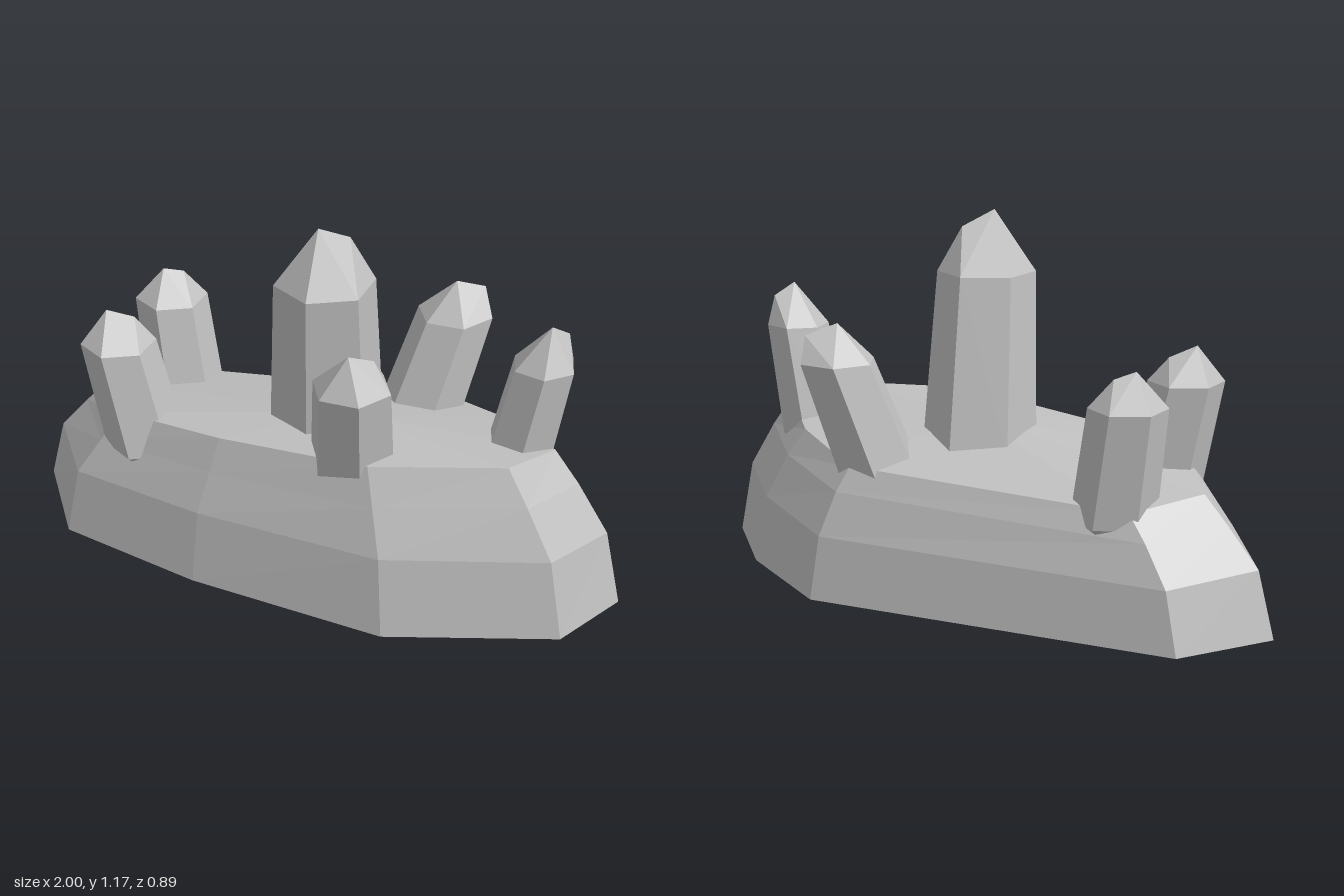
import * as THREE from 'three';
import { ConvexGeometry } from 'three/addons/geometries/ConvexGeometry.js';

const stone = new THREE.MeshStandardMaterial({ color: 0xc0c0c0, side: THREE.DoubleSide });
stone.name = 'grey stone';

// Hollow rock: one outline shrunk upward in tilted rings, closed by a low crown
function rockBase() {
  const outline = [
    [-1, -0.02], [-0.82, -0.3], [0.36, -0.45], [0.74, -0.24], [1, 0.01],
    [0.88, 0.26], [0.37, 0.445], [-0.28, 0.39], [-0.78, 0.28],
  ];
  // scale, height, height gain along x, height gain along z
  const rings = [
    [1, 0, 0, 0],
    [0.945, 0.225, 0.02, 0.07],
    [0.845, 0.36, 0.045, 0.09],
    [0.765, 0.455, 0.06, 0.16],
  ];
  const n = outline.length;
  const pos = [];
  const index = [];
  for (const [s, h, kx, kz] of rings) {
    for (const [x, z] of outline) pos.push(x * s, h + kx * x * s + kz * z * s, z * s);
  }
  const crown = rings.length * n;
  pos.push(0.1, 0.518, 0.06);
  for (let i = 0; i < n; i++) {
    const j = (i + 1) % n;
    for (let r = 0; r < rings.length - 1; r++) {
      const a = r * n + i, b = r * n + j;
      index.push(a, a + n, b, b, a + n, b + n);
    }
    index.push(crown, crown - n + j, crown - n + i);
  }
  const indexed = new THREE.BufferGeometry();
  indexed.setAttribute('position', new THREE.Float32BufferAttribute(pos, 3));
  indexed.setIndex(index);
  const geo = indexed.toNonIndexed();
  geo.computeVertexNormals();
  return geo;
}

// Leaning six-sided crystal with a blunt foot, a peak and a lower shoulder point
function crystal({ base, baseR, top, topR, yaw, peak, shoulder }) {
  const points = [new THREE.Vector3(...peak), new THREE.Vector3(...shoulder)];
  const addRing = ([x, y, z], r) => {
    for (let i = 0; i < 6; i++) {
      const a = THREE.MathUtils.degToRad(yaw + i * 60);
      points.push(new THREE.Vector3(x + r * Math.cos(a), y, z + r * Math.sin(a)));
    }
  };
  addRing([base[0], base[1] - 0.05, base[2]], baseR * 0.6);
  addRing(base, baseR);
  addRing(top, topR);
  return new ConvexGeometry(points);
}

const crystals = {
  tallCrystal: {
    base: [0.035, 0.43, 0.025], baseR: 0.18, top: [0.055, 0.98, 0.1], topR: 0.155, yaw: 30,
    peak: [0.05, 1.17, 0.14], shoulder: [0.12, 1.12, 0.06],
  },
  frontCrystal: {
    base: [0.19, 0.41, 0.215], baseR: 0.135, top: [0.22, 0.765, 0.31], topR: 0.122, yaw: 0,
    peak: [0.225, 0.89, 0.355], shoulder: [0.28, 0.855, 0.29],
  },
  backCrystal: {
    base: [0.25, 0.38, -0.22], baseR: 0.138, top: [0.34, 0.735, -0.31], topR: 0.122, yaw: 0,
    peak: [0.345, 0.85, -0.3], shoulder: [0.42, 0.815, -0.365],
  },
  frontRightCrystal: {
    base: [-0.53, 0.34, 0.17], baseR: 0.128, top: [-0.605, 0.69, 0.18], topR: 0.118, yaw: 30,
    peak: [-0.635, 0.8, 0.19], shoulder: [-0.565, 0.765, 0.14],
  },
  backRightCrystal: {
    base: [-0.54, 0.33, -0.16], baseR: 0.128, top: [-0.595, 0.68, -0.185], topR: 0.118, yaw: 30,
    peak: [-0.61, 0.785, -0.165], shoulder: [-0.56, 0.765, -0.21],
  },
  leftCrystal: {
    base: [0.635, 0.41, -0.025], baseR: 0.112, top: [0.705, 0.765, -0.025], topR: 0.1, yaw: 15,
    peak: [0.725, 0.9, -0.015], shoulder: [0.765, 0.86, -0.07],
  },
};

export function createModel() {
  const group = new THREE.Group();
  group.name = 'crystalRock';
  const add = (name, geometry) => {
    const mesh = new THREE.Mesh(geometry, stone);
    mesh.name = name;
    group.add(mesh);
  };
  add('rockBase', rockBase());
  for (const [name, spec] of Object.entries(crystals)) add(name, crystal(spec));
  return group;
}
